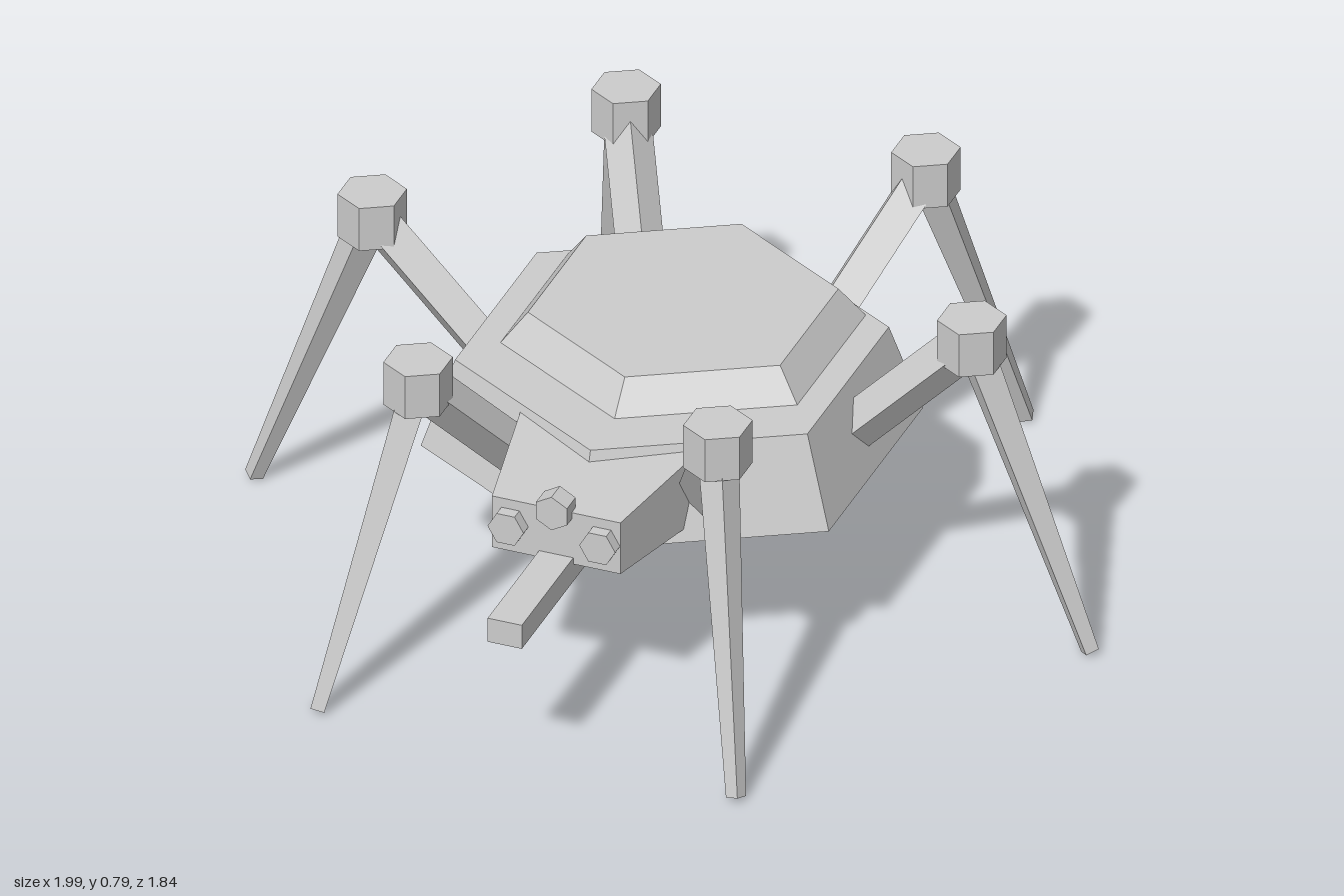
import * as THREE from 'three';

const grey = new THREE.MeshStandardMaterial({ color: 0xcccccc, flatShading: true });
const CENTRE_Z = -0.055;

function add(parent, name, geometry, x = 0, y = 0, z = 0) {
  const mesh = new THREE.Mesh(geometry, grey);
  mesh.name = name;
  mesh.position.set(x, y, z);
  parent.add(mesh);
  return mesh;
}

// Tapered hexagonal slab between two heights
function hexSlab(parent, name, rTop, rBottom, y0, y1, z) {
  return add(parent, name, new THREE.CylinderGeometry(rTop, rBottom, y1 - y0, 6), 0, (y0 + y1) / 2, z);
}

// Four-sided bar in the xy plane, ridge up, from one point to another
function bar(parent, name, from, to, rFrom, rTo) {
  const a = new THREE.Vector2(...from), b = new THREE.Vector2(...to);
  const d = b.clone().sub(a);
  const mesh = add(parent, name, new THREE.CylinderGeometry(rTo, rFrom, d.length(), 4),
    (a.x + b.x) / 2, (a.y + b.y) / 2, 0);
  mesh.rotation.z = d.angle() - Math.PI / 2;
  return mesh;
}

function createLeg(index) {
  const leg = new THREE.Group();
  leg.name = 'leg' + (index + 1);
  const angle = index * Math.PI / 3;
  bar(leg, 'upperLeg', [0.42, 0.445], [0.69, 0.725], 0.053, 0.053);
  bar(leg, 'lowerLeg', [0.70, 0.74], [0.976, 0.008], 0.046, 0.022);
  const knee = add(leg, 'knee', new THREE.CylinderGeometry(0.076, 0.076, 0.108, 6), 0.70, 0.738, 0);
  // All knees keep the same hexagon direction
  knee.rotation.y = -angle;
  leg.rotation.y = angle;
  leg.position.z = CENTRE_Z;
  return leg;
}

// Box narrowing toward the front
function headGeometry(zBack, zFront) {
  const geometry = new THREE.BoxGeometry(2, 1, 1);
  const p = geometry.attributes.position;
  for (let i = 0; i < p.count; i++) {
    const front = p.getZ(i) > 0, top = p.getY(i) > 0;
    const y = front ? (top ? 0.53 : 0.40) : (top ? 0.55 : 0.375);
    p.setXYZ(i, p.getX(i) * (front ? 0.15 : 0.215), y, front ? zFront : zBack);
  }
  geometry.computeVertexNormals();
  return geometry;
}

export function createModel() {
  const model = new THREE.Group();
  model.name = 'sixLeggedWalker';

  // Body and raised top plate
  hexSlab(model, 'body', 0.475, 0.55, 0.354, 0.566, CENTRE_Z);
  hexSlab(model, 'topPlate', 0.34, 0.40, 0.566, 0.638, -0.12);

  // Head with three eyes
  add(model, 'head', headGeometry(0.28, 0.62));
  for (const [x, y] of [[-0.107, 0.47], [0, 0.535], [0.107, 0.47]]) {
    const eye = add(model, 'eye', new THREE.CylinderGeometry(0.042, 0.042, 0.05, 6), x, y, 0.623);
    eye.rotation.set(Math.PI / 2, x === 0 ? 0 : Math.PI / 6, 0);
  }

  // Barrel under the head
  add(model, 'barrel', new THREE.BoxGeometry(0.08, 0.06, 0.57), 0, 0.386, 0.635);

  for (let i = 0; i < 6; i++) model.add(createLeg(i));
  return model;
}
